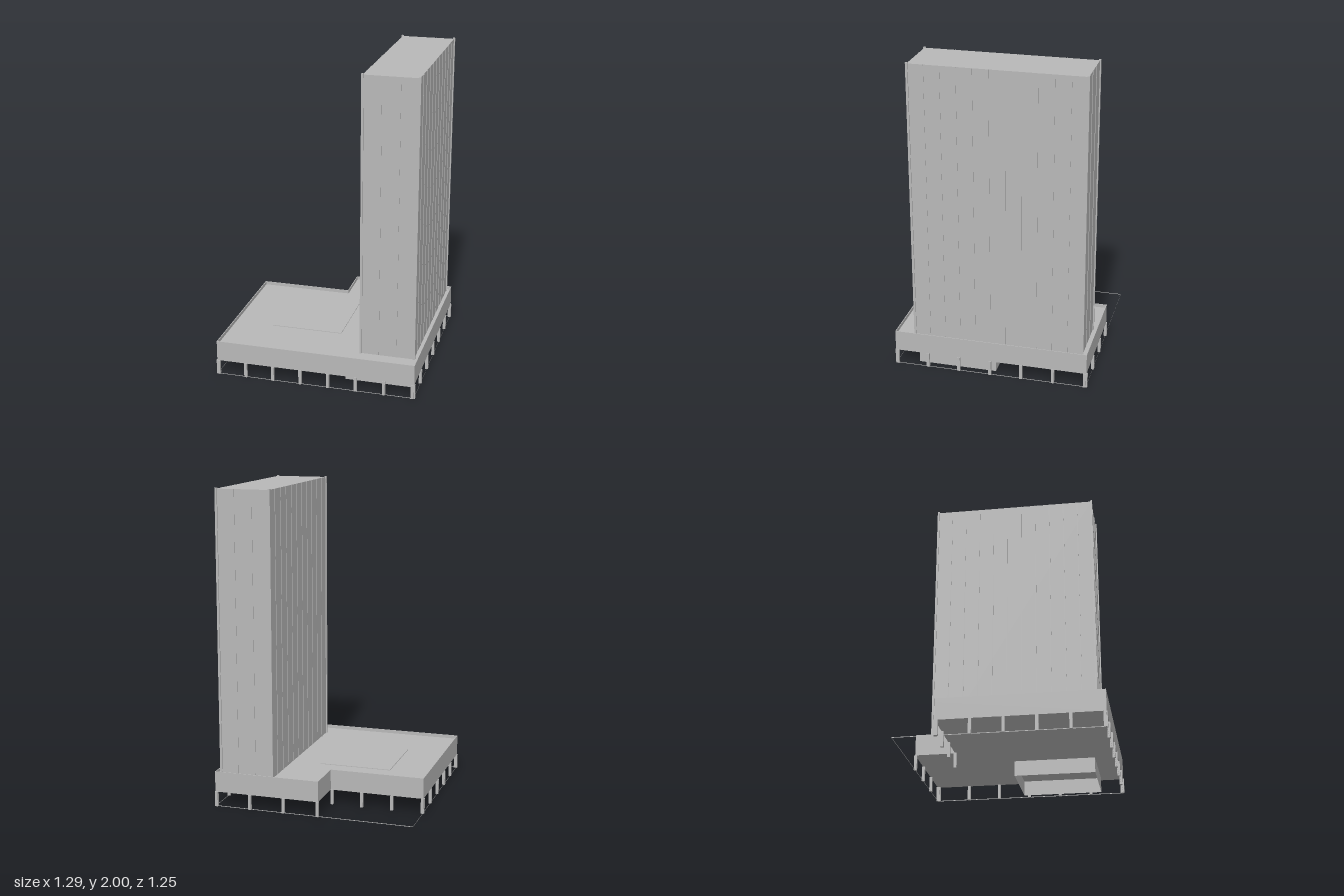
import * as THREE from 'three';

export function createModel() {
  const model = new THREE.Group();
  model.name = 'towerOnPodium';
  const concrete = new THREE.MeshStandardMaterial({ color: 0xb8b8b8 });
  concrete.name = 'concreteGrey';
  const thinConcrete = concrete.clone();
  thinConcrete.side = THREE.DoubleSide;
  thinConcrete.name = 'concreteGreyThin';

  function add(name, geometry, parent = model, material = concrete) {
    const mesh = new THREE.Mesh(geometry, material);
    mesh.name = name;
    parent.add(mesh);
    return mesh;
  }
  // Box given by its limits on each axis
  function box(name, x0, x1, y0, y1, z0, z1, parent) {
    const mesh = add(name, new THREE.BoxGeometry(x1 - x0, y1 - y0, z1 - z0), parent);
    mesh.position.set((x0 + x1) / 2, (y0 + y1) / 2, (z0 + z1) / 2);
    return mesh;
  }
  // Open rectangular ring of upright walls, without thickness
  function wallRing(name, x0, x1, z0, z1, height) {
    const group = new THREE.Group();
    group.name = name;
    const w = x1 - x0, d = z1 - z0, cx = (x0 + x1) / 2, cz = (z0 + z1) / 2;
    const sides = [[w, cx, z1, 0], [d, x1, cz, 1], [w, cx, z0, 2], [d, x0, cz, 3]];
    for (const [length, x, z, turn] of sides) {
      const wall = add(name + 'Wall', new THREE.PlaneGeometry(length, height), group, thinConcrete);
      wall.position.set(x, height / 2, z);
      wall.rotation.y = turn * Math.PI / 2;
    }
    model.add(group);
  }

  // L-shaped plan, optionally inset; plan y is -z
  const outline = (i) => [
    [-0.644 + i, -0.617 + i], [0.64 - i, -0.617 + i], [0.64 - i, 0.622 - i],
    [-0.042 + i, 0.622 - i], [-0.042 + i, 0.37 - i], [-0.644 + i, 0.37 - i],
  ].map(([x, y]) => new THREE.Vector2(x, y));
  function extrudePlan(name, shape, y0, y1) {
    const geometry = new THREE.ExtrudeGeometry(shape, { depth: y1 - y0, bevelEnabled: false });
    geometry.rotateX(-Math.PI / 2);
    add(name, geometry).position.y = y0;
  }

  // Podium: slab and thin parapet
  extrudePlan('podium', new THREE.Shape(outline(0)), 0.095, 0.205);
  const parapet = new THREE.Shape(outline(0));
  parapet.holes.push(new THREE.Path(outline(0.005)));
  extrudePlan('parapet', parapet, 0.205, 0.227);
  box('roofPanel', -0.385, 0.08, 0.2, 0.209, -0.21, 0.26);

  // Columns around the podium edge, standing slightly proud of it
  const columns = new THREE.Group();
  columns.name = 'columns';
  model.add(columns);
  function columnRow(count, xa, za, xb, zb) {
    for (let i = 0; i < count; i++) {
      const t = i / (count - 1);
      const x = xa + (xb - xa) * t, z = za + (zb - za) * t;
      box('column', x - 0.009, x + 0.009, 0, 0.095, z - 0.009, z + 0.009, columns);
    }
  }
  columnRow(8, -0.634, 0.613, 0.627, 0.613);
  columnRow(7, 0.636, -0.611, 0.636, 0.606);
  columnRow(4, -0.035, -0.619, 0.632, -0.619);
  columnRow(4, -0.638, -0.367, -0.05, -0.367);
  columnRow(6, -0.64, -0.36, -0.64, 0.608);

  // Lobby walls under the podium and the line around the site
  wallRing('lobby', 0.165, 0.59, -0.03, 0.475, 0.095);
  wallRing('siteEdge', -0.642, 0.638, -0.62, 0.615, 0.004);

  // Tower: plain body, corner posts and thin upright mullions
  const tower = new THREE.Group();
  tower.name = 'tower';
  model.add(tower);
  const X0 = 0.269, X1 = 0.609, Z0 = -0.588, Z1 = 0.491;
  box('towerBody', X0, X1, 0.2, 1.994, Z0, Z1, tower);
  const post = (name, x, z, r, top) =>
    box(name, x - r, x + r, 0.2, top, z - r, z + r, tower);
  for (const x of [X0, X1]) {
    for (const z of [Z0, Z1]) post('cornerPost', x, z, 0.007, 2);
    for (let i = 1; i < 11; i++) post('mullion', x, Z0 + (Z1 - Z0) * i / 11, 0.003, 1.994);
  }
  for (const z of [Z0, Z1]) {
    for (let i = 1; i < 3; i++) post('mullion', X0 + (X1 - X0) * i / 3, z, 0.003, 1.994);
  }
  return model;
}
